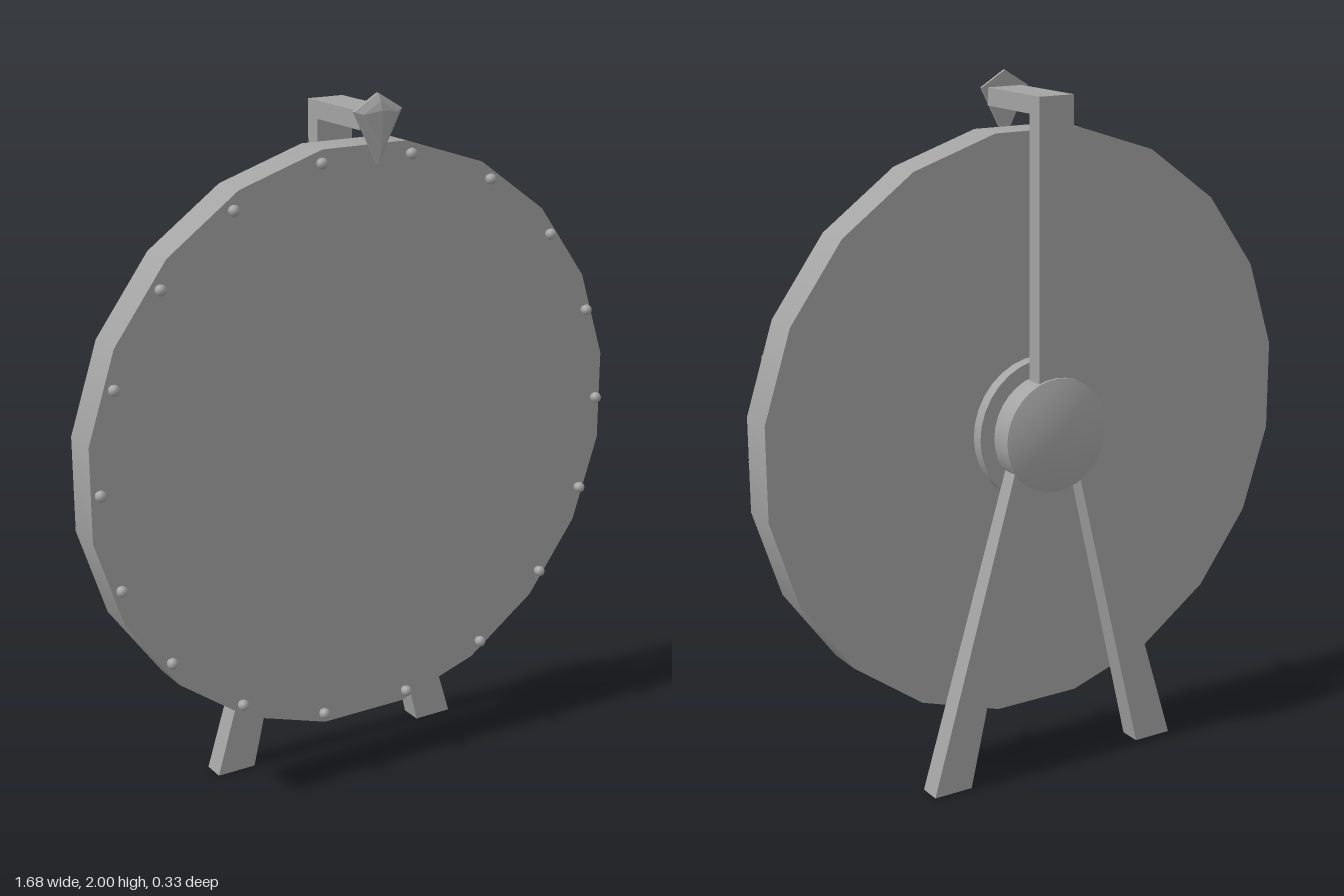
import * as THREE from 'three';
import { ConvexGeometry } from 'three/addons/geometries/ConvexGeometry.js';

const CY = 1.01; // height of the wheel axle

export function createModel() {
  const model = new THREE.Group();
  const grey = new THREE.MeshStandardMaterial({ color: 0xa3a3a3 });
  grey.name = 'grey';

  const add = (name, geometry, parent = model) => {
    const mesh = new THREE.Mesh(geometry, grey);
    mesh.name = name;
    parent.add(mesh);
    return mesh;
  };
  // Disc facing along z between two depths
  const disc = (name, r, z0, z1, sides, turn = 0) => {
    const g = new THREE.CylinderGeometry(r, r, z1 - z0, sides, 1, false, turn);
    g.rotateX(Math.PI / 2);
    return add(name, g.translate(0, CY, (z0 + z1) / 2));
  };
  const box = (name, w, y0, y1, z0, z1) =>
    add(name, new THREE.BoxGeometry(w, y1 - y0, z1 - z0).translate(0, (y0 + y1) / 2, (z0 + z1) / 2));

  // Twenty-sided wheel and its hub
  disc('wheel', 0.853, -0.03, 0.08, 20, Math.PI / 20);
  disc('hubFlange', 0.21, -0.066, -0.03, 32);
  disc('hub', 0.165, -0.135, -0.066, 32);

  // Shallow domed cap on the back of the hub
  const R = 0.469, capAngle = Math.asin(0.165 / R);
  const profile = [];
  for (let i = 0; i <= 8; i++) {
    const a = capAngle * (1 - i / 8);
    profile.push(new THREE.Vector2(R * Math.sin(a), R * (Math.cos(a) - Math.cos(capAngle))));
  }
  add('hubCap', new THREE.LatheGeometry(profile, 32).rotateX(-Math.PI / 2).translate(0, CY, -0.135));

  // Pegs around the rim
  const pegs = new THREE.Group();
  pegs.name = 'pegs';
  model.add(pegs);
  const stem = new THREE.CylinderGeometry(0.011, 0.011, 0.02, 10).rotateX(Math.PI / 2);
  const head = new THREE.SphereGeometry(0.016, 12, 8);
  for (let i = 0; i < 18; i++) {
    const a = ((i + 0.5) * Math.PI) / 9;
    const x = 0.82 * Math.sin(a), y = CY + 0.82 * Math.cos(a);
    add('pegStem', stem, pegs).position.set(x, y, 0.085);
    add('pegHead', head, pegs).position.set(x, y, 0.094);
  }

  // Post and arm that carry the pointer
  box('post', 0.11, 1.1, 1.955, -0.127, -0.076);
  box('pointerArm', 0.11, 1.905, 1.955, -0.076, 0.14);

  // Kite-shaped pointer with a bevelled, ridged face
  const kite = [[0, 2], [0.075, 1.955], [0, 1.81], [-0.075, 1.955]];
  const points = [];
  for (const [s, z] of [[1, 0.136], [1, 0.145], [0.7, 0.157]])
    for (const [x, y] of kite) points.push(new THREE.Vector3(x * s, 1.93 + (y - 1.93) * s, z));
  points.push(new THREE.Vector3(0, 1.955, 0.165), new THREE.Vector3(0, 1.85, 0.164));
  add('pointer', new ConvexGeometry(points));

  // Splayed legs, tapering towards the hub
  for (const side of [1, -1]) {
    const corners = [];
    for (const [y, xIn, xOut, zBack, zFront] of [
      [0, 0.29, 0.41, -0.135, -0.069],
      [0.95, 0.065, 0.125, -0.126, -0.076],
    ])
      for (const x of [xIn, xOut])
        for (const z of [zBack, zFront]) corners.push(new THREE.Vector3(side * x, y, z));
    add(side > 0 ? 'leftLeg' : 'rightLeg', new ConvexGeometry(corners));
  }
  return model;
}
